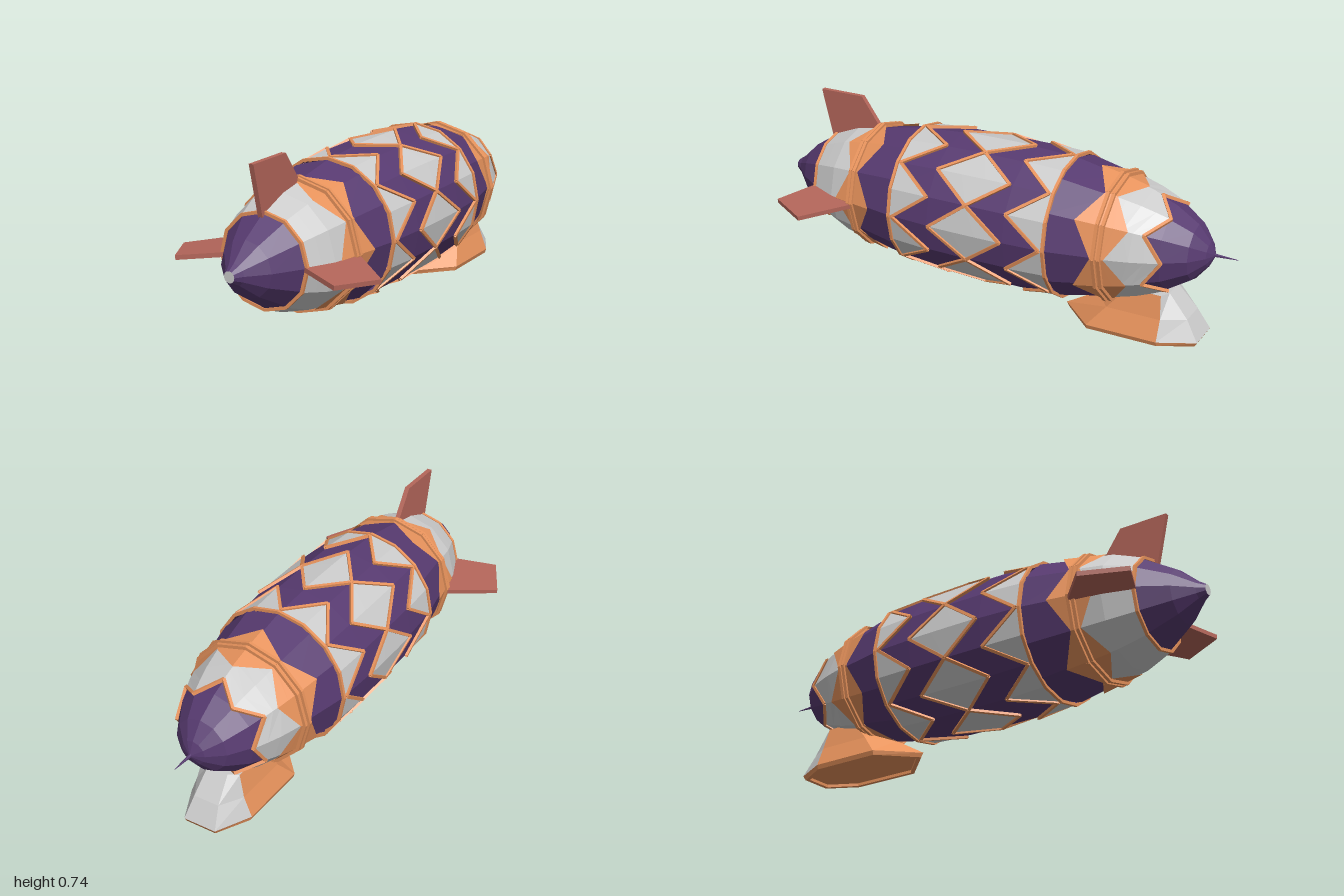
import * as THREE from 'three';
import { mergeGeometries } from 'three/addons/utils/BufferGeometryUtils.js';

const AXIS = 0.367;
const mat = (color) => new THREE.MeshStandardMaterial({ color, flatShading: true, side: THREE.DoubleSide });
const GREY = mat(0xcccccc), PURPLE = mat(0x573a70), ORANGE = mat(0xe8935c), RED = mat(0xb4665a);

// Hull profile: z, radius
const PROFILE = [
  [-0.91, 0.008], [-0.89, 0.05], [-0.84, 0.112], [-0.75, 0.17], [-0.64, 0.213], [-0.54, 0.24],
  [-0.33, 0.284], [-0.16, 0.293], [0.01, 0.295], [0.18, 0.293], [0.36, 0.281], [0.565, 0.243],
  [0.68, 0.222], [0.79, 0.178], [0.9, 0.108], [0.97, 0.042], [1.0, 0.022],
];

function radius(z) {
  for (let i = 1; i < PROFILE.length; i++) {
    const [z0, r0] = PROFILE[i - 1], [z1, r1] = PROFILE[i];
    if (z <= z1) return r0 + (r1 - r0) * (z - z0) / (z1 - z0);
  }
  return 0.022;
}

function onHull(k, sides, z, lift) {
  const a = (k / sides) * Math.PI * 2, r = radius(z) + lift;
  return new THREE.Vector3(r * Math.sin(a), AXIS + r * Math.cos(a), z);
}

function add(parent, name, geometry, material) {
  const mesh = new THREE.Mesh(geometry, material);
  mesh.name = name;
  parent.add(mesh);
  return mesh;
}

function trianglesGeometry(points) {
  const g = new THREE.BufferGeometry().setFromPoints(points);
  g.computeVertexNormals();
  return g;
}

// Faceted skin between two outlines lo(k) and hi(k) running round the hull
function skin(sides, lo, hi, lift, steps = 3) {
  const pts = [];
  for (let k = 0; k < sides; k++) {
    const at = (j, t) => onHull(j, sides, lo(j) + (hi(j) - lo(j)) * t, lift);
    for (let s = 0; s < steps; s++) {
      const t0 = s / steps, t1 = (s + 1) / steps;
      const a = at(k, t0), b = at(k, t1), c = at(k + 1, t1), d = at(k + 1, t0);
      pts.push(a, b, c, a, c, d);
    }
  }
  return trianglesGeometry(pts);
}

// Square trim following an outline round the hull
function trim(sides, outline, lift, width = 0.012, height = 0.012) {
  const bars = [];
  for (let k = 0; k < sides; k++) {
    const a = onHull(k, sides, outline(k), lift), b = onHull(k + 1, sides, outline(k + 1), lift);
    const mid = a.clone().add(b).multiplyScalar(0.5);
    const up = new THREE.Vector3(mid.x, mid.y - AXIS, 0);
    const m = new THREE.Matrix4().lookAt(b, a, up).setPosition(mid);
    bars.push(new THREE.BoxGeometry(width, height, a.distanceTo(b) + 0.004).applyMatrix4(m));
  }
  return mergeGeometries(bars);
}

const flat = (z) => () => z;
const zigzag = (even, odd) => (k) => (k % 2 ? odd : even);

// Side walls joining cross-sections of equal point count
function loft(sections, from, to) {
  const pts = [];
  for (let s = 1; s < sections.length; s++) {
    const A = sections[s - 1], B = sections[s], n = A.length;
    for (let i = from; i < to; i++) {
      const j = (i + 1) % n;
      pts.push(A[i], A[j], B[j], A[i], B[j], B[i]);
    }
  }
  return trianglesGeometry(pts);
}

// Plan outline of the gondola, from the pointed rear round to the blunt front
function plan(y, rear, side, w, rearSide, front, fw) {
  return [[0, rear], [w, rearSide], [w, side], [fw, front], [-fw, front], [-w, side], [-w, rearSide]]
    .map(([x, z]) => new THREE.Vector3(x, y, z));
}

function fin(outline, thickness) {
  const shape = new THREE.Shape(outline.map(([x, y]) => new THREE.Vector2(x, y)));
  return new THREE.ExtrudeGeometry(shape, { depth: thickness, bevelEnabled: false }).translate(0, 0, -thickness / 2);
}

function createHull() {
  const hull = new THREE.Group();
  hull.name = 'hull';
  // Purple envelope: 16-sided middle, 12-sided ends
  const zs = PROFILE.map((p) => p[0]);
  for (let i = 1; i < zs.length; i++) {
    const sides = zs[i] > -0.32 && zs[i] <= 0.36 ? 16 : 12;
    add(hull, 'envelopeSection', skin(sides, flat(zs[i - 1]), flat(zs[i]), 0, 1), PURPLE);
  }
  // Middle pattern: a row of diamonds between two rows of teeth
  const rows = [
    ['rearTeeth', zigzag(0.345, 0.185), flat(0.36)],
    ['diamonds', zigzag(-0.15, 0.01), zigzag(0.17, 0.01)],
    ['frontTeeth', flat(-0.33), zigzag(-0.315, -0.165)],
  ];
  for (const [name, lo, hi] of rows) {
    add(hull, name, skin(16, lo, hi, 0.004), GREY);
    add(hull, name + 'Trim', mergeGeometries([trim(16, lo, 0.005), trim(16, hi, 0.005)]), ORANGE);
  }
  // Nose: toothed grey collar with orange diamonds at its ring
  const noseEdge = zigzag(-0.69, -0.76);
  add(hull, 'noseCollar', skin(12, noseEdge, flat(-0.535), 0.006, 4), GREY);
  add(hull, 'noseCollarTrim', trim(12, noseEdge, 0.007), ORANGE);
  add(hull, 'noseDiamonds', skin(12, zigzag(-0.635, -0.56), zigzag(-0.435, -0.51), 0.01, 4), ORANGE);
  // Tail: grey collar with orange diamonds at its ring
  add(hull, 'tailCollar', skin(12, flat(0.565), flat(0.79), 0.006, 4), GREY);
  add(hull, 'tailDiamonds', skin(12, zigzag(0.545, 0.47), zigzag(0.585, 0.65), 0.01, 4), ORANGE);
  // Raised rings
  for (const z of [-0.545, -0.523, 0.558, 0.576]) add(hull, 'ring', trim(12, flat(z), 0.012, 0.013, 0.018), ORANGE);
  add(hull, 'tailRing', trim(12, flat(0.79), 0.005), ORANGE);
  // Tail cap and nose spike
  add(hull, 'tailCap', new THREE.CircleGeometry(0.022, 12).translate(0, AXIS, 1), GREY);
  const spike = new THREE.CylinderGeometry(0.001, 0.008, 0.1, 6).rotateX(-Math.PI / 2);
  add(hull, 'noseSpike', spike.translate(0, AXIS, -0.95), PURPLE);
  return hull;
}

function createGondola() {
  const g = new THREE.Group();
  g.name = 'gondola';
  const base = plan(0.0, -0.31, -0.745, 0.134, -0.45, -0.875, 0.065);
  const rim = plan(0.018, -0.3, -0.745, 0.14, -0.45, -0.885, 0.07);
  const mid = plan(0.1, -0.44, -0.745, 0.108, -0.52, -0.835, 0.055);
  const top = plan(0.19, -0.58, -0.735, 0.085, -0.6, -0.755, 0.045);
  add(g, 'gondolaRim', loft([base, rim], 0, 7), ORANGE);
  for (const [from, to] of [[0, 2], [5, 7]]) add(g, 'gondolaRear', loft([rim, mid, top], from, to), ORANGE);
  add(g, 'gondolaFront', loft([rim, mid, top], 2, 5), GREY);
  // Recessed floor inside the rim
  const inner = plan(0.0, -0.335, -0.74, 0.118, -0.455, -0.858, 0.057);
  const floor = inner.map((p) => new THREE.Vector3(p.x, 0.012, p.z));
  add(g, 'gondolaLip', loft([floor, inner, base], 0, 7), ORANGE);
  const fan = [];
  for (let i = 1; i < 6; i++) fan.push(floor[0], floor[i + 1], floor[i]);
  add(g, 'gondolaFloor', trianglesGeometry(fan), ORANGE);
  // Roof closing the front part against the hull
  const roof = [];
  for (let i = 1; i < 6; i++) roof.push(top[0], top[i], top[i + 1]);
  add(g, 'gondolaRoof', trianglesGeometry(roof), GREY);
  return g;
}

export function createModel() {
  const model = new THREE.Group();
  model.name = 'airship';
  model.add(createHull(), createGondola());

  // Upright tail fin, drawn as (-z, y) and turned into the centre plane
  const upright = fin([[-0.57, 0.615], [-0.6, 0.55], [-0.8, 0.5], [-0.855, 0.735], [-0.655, 0.735]], 0.02);
  add(model, 'topFin', upright.rotateY(Math.PI / 2), RED);

  // Side fins, drawn as (x, z) from the axis and drooping towards the tips
  for (const s of [1, -1]) {
    const outline = [[0.17, 0.56], [0.262, 0.56], [0.43, 0.7], [0.34, 0.867], [0.16, 0.79]];
    const g = fin(outline.map(([x, z]) => [x - 0.18, -z]), 0.018).rotateX(-Math.PI / 2);
    g.rotateZ(-0.11).translate(0.18, AXIS - 0.003, 0);
    if (s < 0) g.rotateZ(Math.PI).scale(1, -1, 1).translate(0, 0, 0);
    // Reverse the winding after mirroring
    if (s < 0) {
      const p = g.attributes.position, v = [];
      for (let i = 0; i < p.count; i += 3) for (const j of [0, 2, 1]) v.push(new THREE.Vector3().fromBufferAttribute(p, i + j));
      add(model, 'rightFin', trianglesGeometry(v), RED);
    } else add(model, 'leftFin', g, RED);
  }
  return model;
}
